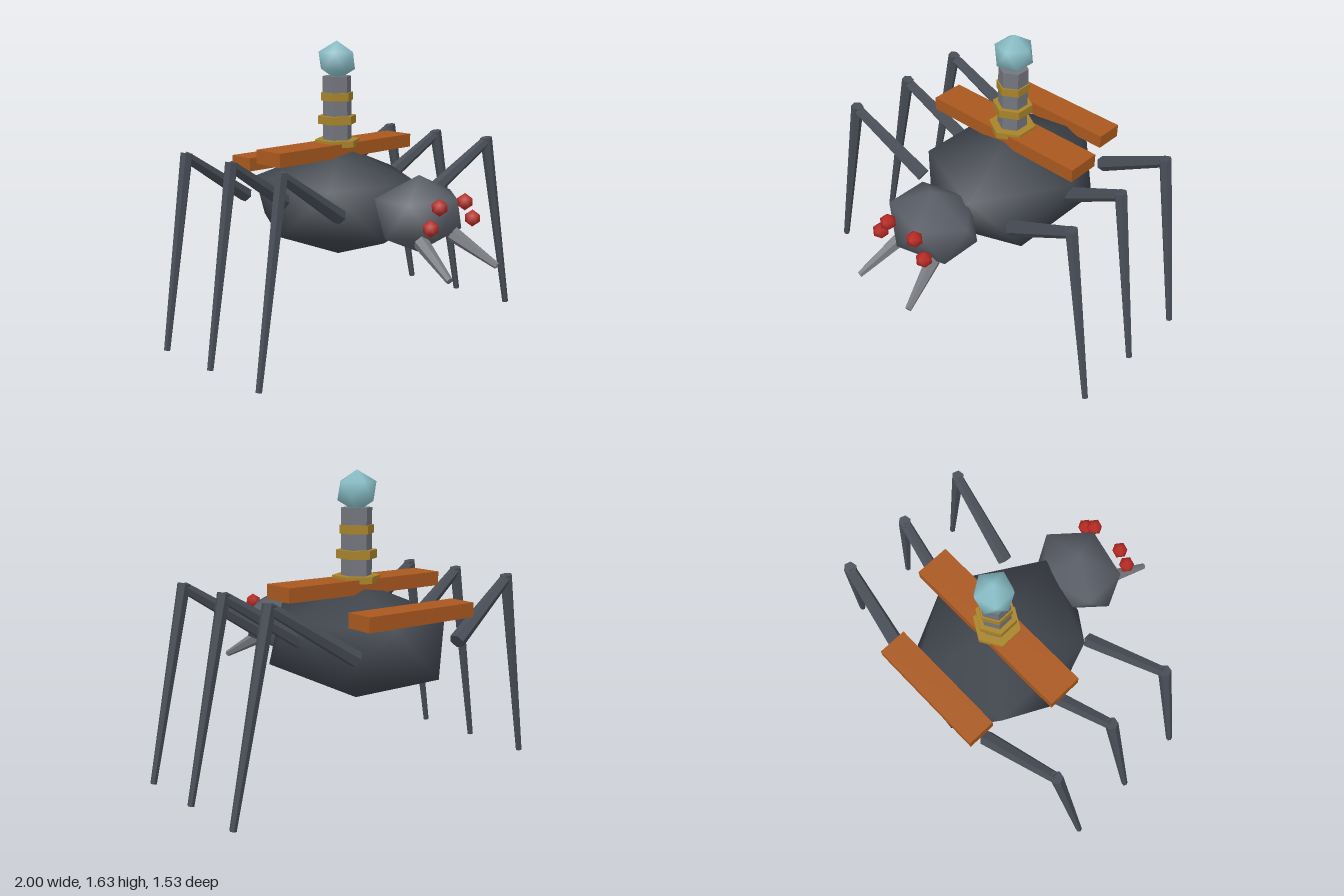
import * as THREE from 'three';
import { mergeVertices } from 'three/addons/utils/BufferGeometryUtils.js';

const mat = (color, flatShading = true) => new THREE.MeshStandardMaterial({ color, flatShading });

// Smooth-shaded icosahedron standing on a corner, stretched to three radii
function icoGeometry(rx, ry, rz) {
  let geo = new THREE.IcosahedronGeometry(1, 0);
  geo.deleteAttribute('normal');
  geo.deleteAttribute('uv');
  geo = mergeVertices(geo, 1e-3);
  geo.rotateX(-Math.atan((1 + Math.sqrt(5)) / 2)).rotateY(Math.PI / 2).scale(rx, ry, rz);
  geo.computeVertexNormals();
  return geo;
}

export function createModel() {
  const model = new THREE.Group();
  model.name = 'mechanicalSpider';

  const shell = mat(0x3f444c, false);
  const headGrey = mat(0x5a5e67, false);
  const legGrey = mat(0x484d56);
  const fangGrey = mat(0x777a80);
  const steel = mat(0x74767e);
  const brass = mat(0xa8842a);
  const wood = mat(0xa9581e);
  const red = mat(0xb82a24, false);
  const glass = mat(0x8abfc8, false);

  const add = (name, geo, material, x = 0, y = 0, z = 0, parent = model) => {
    const mesh = new THREE.Mesh(geo, material);
    mesh.name = name;
    mesh.position.set(x, y, z);
    parent.add(mesh);
    return mesh;
  };

  // Tapered six-sided rod between two points
  const rod = (name, a, b, ra, rb, material, parent = model) => {
    const from = new THREE.Vector3(...a), to = new THREE.Vector3(...b);
    const dir = to.clone().sub(from);
    const mesh = add(name, new THREE.CylinderGeometry(rb, ra, dir.length(), 6), material, 0, 0, 0, parent);
    mesh.position.copy(from).add(to).multiplyScalar(0.5);
    mesh.quaternion.setFromUnitVectors(new THREE.Vector3(0, 1, 0), dir.normalize());
    return mesh;
  };

  // Abdomen and head
  add('body', icoGeometry(0.49, 0.32, 0.585), shell, 0, 0.735, -0.247);
  add('head', icoGeometry(0.285, 0.208, 0.235), headGrey, 0, 0.753, 0.375);

  // Planks across the back
  add('middlePlank', new THREE.BoxGeometry(1.01, 0.076, 0.194), wood, 0, 1.032, -0.247);
  add('rearPlank', new THREE.BoxGeometry(0.69, 0.076, 0.16), wood, 0, 0.932, -0.69);

  // Tower with brass rings and a glass tip
  add('tower', new THREE.CylinderGeometry(0.082, 0.082, 0.41, 6), steel, 0, 1.235, -0.247);
  [[0.13, 1.067, 0.036], [0.11, 1.197, 0.045], [0.091, 1.327, 0.045]].forEach(([r, y, h], i) =>
    add(`brassRing${i + 1}`, new THREE.CylinderGeometry(r, r, h, 6), brass, 0, y, -0.247));
  add('glassTip', icoGeometry(0.114, 0.11, 0.114), glass, 0, 1.525, -0.247);

  for (const [side, s] of [['left', 1], ['right', -1]]) {
    // Eyes and fangs
    add(`${side}UpperEye`, icoGeometry(0.046, 0.046, 0.046), red, s * 0.1, 0.838, 0.605);
    add(`${side}LowerEye`, icoGeometry(0.046, 0.046, 0.046), red, s * 0.165, 0.74, 0.605);
    rod(`${side}Fang`, [s * 0.125, 0.645, 0.505], [s * 0.19, 0.505, 0.755], 0.042, 0.018, fangGrey);

    // Three two-part legs
    [['front', 0.2], ['middle', -0.195], ['rear', -0.587]].forEach(([place, z]) => {
      const leg = new THREE.Group();
      leg.name = `${side}${place[0].toUpperCase()}${place.slice(1)}Leg`;
      model.add(leg);
      const knee = [s * 0.788, 1.037, z];
      rod('upperLeg', [s * 0.338, 0.75, z - 0.077], knee, 0.044, 0.03, legGrey, leg);
      rod('lowerLeg', [s * 0.785, 1.055, z], [s * 0.981, 0.004, z + 0.031], 0.035, 0.018, legGrey, leg);
    });
  }
  return model;
}
